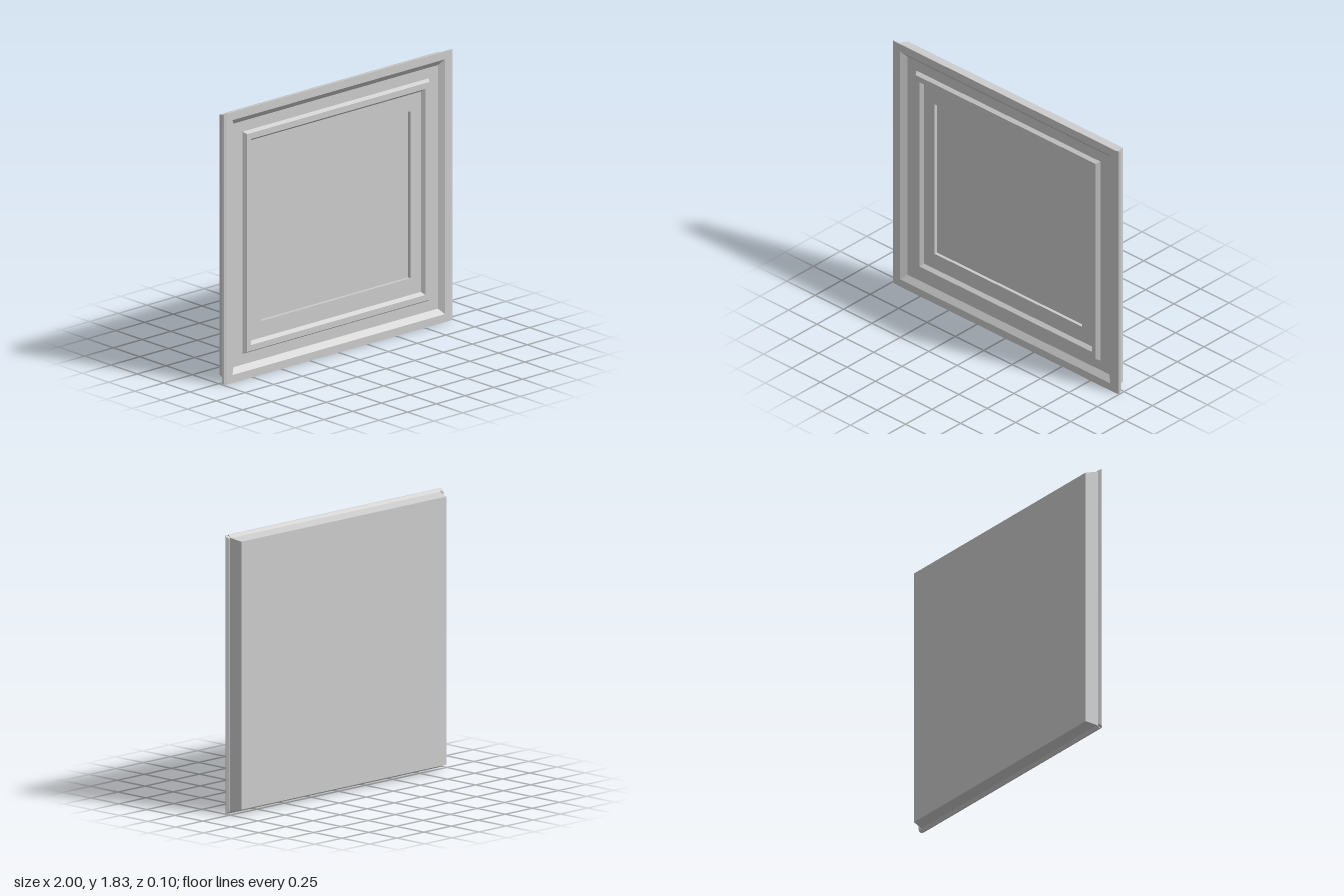
import * as THREE from 'three';

const H = 1.83, MID = H / 2;
const grey = () => new THREE.MeshStandardMaterial({ color: 0xcccccc, flatShading: true });

// How far the top and bottom edges step in at a given depth
function edgeInset(z) {
  if (z > 0.04) return 0;
  if (z > 0.025) return (0.04 - z) * 1.2;
  return 0.018 + (0.025 - z) * 0.22;
}

// Skin through concentric rectangles [halfWidth, halfHeight, z]
function rectLoft(rings) {
  const corner = ([w, h, z], i) => [[-w, -h], [w, -h], [w, h], [-w, h]][i % 4].concat(z);
  const pos = [];
  for (let r = 0; r < rings.length - 1; r++) {
    for (let i = 0; i < 4; i++) {
      const a = corner(rings[r], i), b = corner(rings[r], i + 1);
      const c = corner(rings[r + 1], i + 1), d = corner(rings[r + 1], i);
      pos.push(...a, ...b, ...c, ...a, ...c, ...d);
    }
  }
  const g = new THREE.BufferGeometry();
  g.setAttribute('position', new THREE.Float32BufferAttribute(pos, 3));
  g.computeVertexNormals();
  return g.translate(0, MID, 0);
}

// Hooked lip running up one side, its ends following the sloped edges
function lipGeometry(side) {
  const profile = [[0.97, 0.03], [0.988, 0.017], [1, 0.033], [0.993, 0.045], [0.975, 0.05]];
  const shape = new THREE.Shape(profile.map(([x, z]) => new THREE.Vector2(side * x, -z)));
  const g = new THREE.ExtrudeGeometry(shape, { depth: H, bevelEnabled: false });
  g.rotateX(-Math.PI / 2);
  const p = g.attributes.position;
  for (let i = 0; i < p.count; i++) {
    const inset = edgeInset(p.getZ(i));
    p.setY(i, p.getY(i) < MID ? inset : H - inset);
  }
  g.computeVertexNormals();
  return g;
}

export function createModel() {
  const group = new THREE.Group();
  const add = (name, geometry) => {
    const mesh = new THREE.Mesh(geometry, grey());
    mesh.name = name;
    group.add(mesh);
    return mesh;
  };

  // Sloped outer edges, from the back to the front
  const edges = [[0.945, -0.05], [0.967, 0.025], [0.971, 0.04], [0.975, 0.05]]
    .map(([w, z]) => [w, MID - edgeInset(z), z]);
  add('outerEdges', rectLoft(edges));

  // Stepped mouldings on the face, from the rim to the centre recess
  add('frontMoulding', rectLoft([
    [0.975, MID, 0.05],
    [0.925, 0.861, 0.05], [0.89, 0.823, 0.02],
    [0.81, 0.751, 0.02], [0.793, 0.736, 0.045],
    [0.76, 0.696, 0.045], [0.742, 0.677, 0.02],
    [0.65, 0.564, 0.02], [0.65, 0.564, -0.002],
  ]));

  // Flat panels closing the centre and the back
  add('centrePanel', new THREE.PlaneGeometry(1.3, 1.128)).position.set(0, MID, -0.002);
  const back = add('backPanel', new THREE.PlaneGeometry(1.89, H - 2 * edgeInset(-0.05)));
  back.position.set(0, MID, -0.05);
  back.rotation.y = Math.PI;

  add('leftLip', lipGeometry(1));
  add('rightLip', lipGeometry(-1));
  return group;
}
